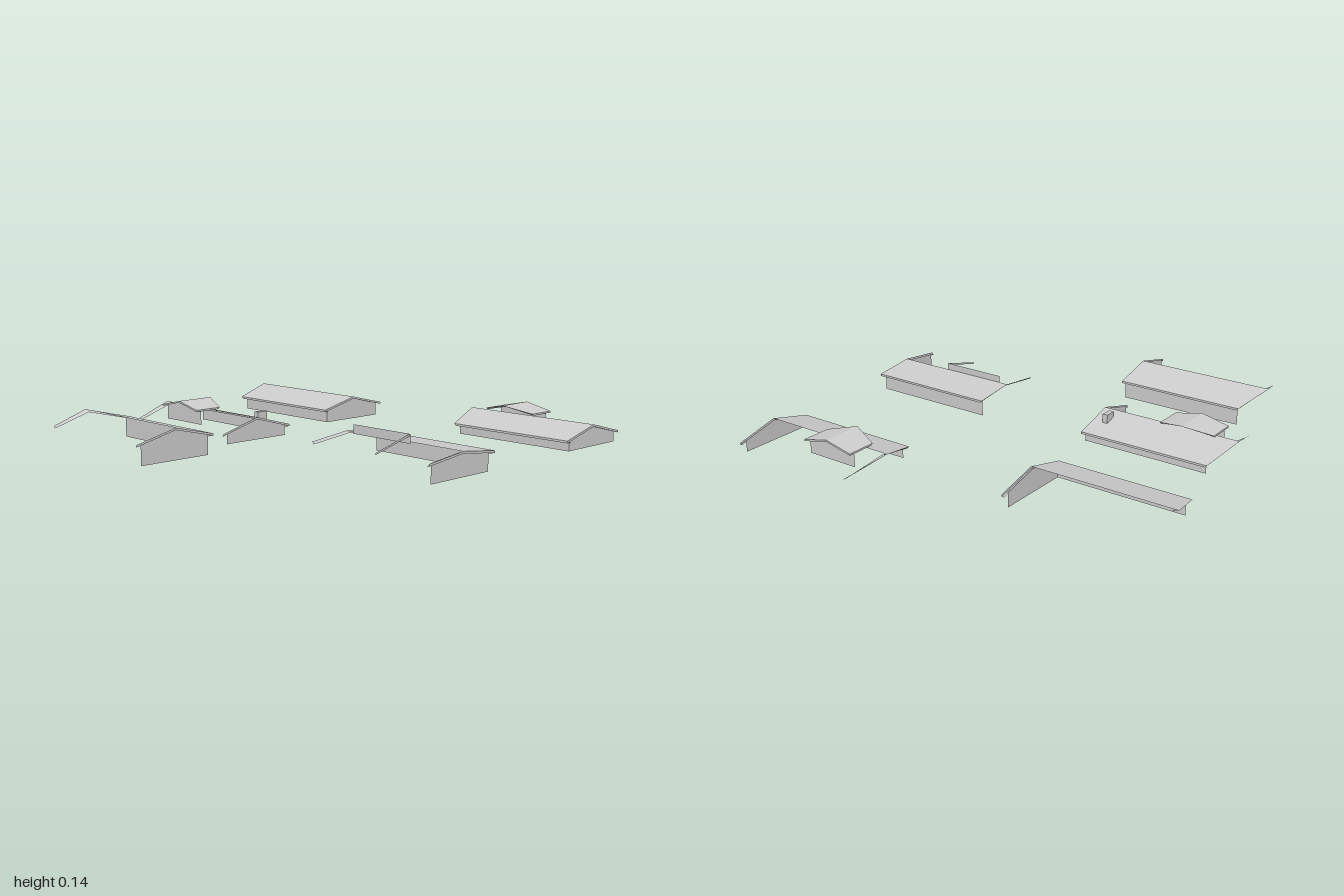
import * as THREE from 'three';

const material = new THREE.MeshStandardMaterial({ color: 0xcccccc, flatShading: true, side: THREE.DoubleSide });

// Flat convex panel from its corner points
function panel(name, points) {
  const triangles = [];
  for (let i = 1; i < points.length - 1; i++) triangles.push(...points[0], ...points[i], ...points[i + 1]);
  const geometry = new THREE.BufferGeometry();
  geometry.setAttribute('position', new THREE.Float32BufferAttribute(triangles, 3));
  geometry.computeVertexNormals();
  const mesh = new THREE.Mesh(geometry, material);
  mesh.name = name;
  return mesh;
}

const HALF = 0.2;   // ridge to eave
const WALL = 0.175; // ridge to wall
const TRIM = 0.01;  // depth of the roof edge

// Open house shell: one roof slope (side +1 or -1), its long wall, front gable and rake trims
function house({ name, x, side, front, backRidge, backEave, ridge, eave, frontTrim = 0.006, backTrim = [0.03, 0.01], bothTrims = true }) {
  const group = new THREE.Group();
  group.name = name;
  const out = side * HALF;
  const wallTop = ridge - (ridge - eave) * WALL / HALF - 0.004;
  group.add(panel('roofSlope', [[0, ridge, front], [out, eave, front], [out, eave, backEave], [0, ridge, backRidge]]));
  group.add(panel('eaveFascia', [[out, eave, front], [out, eave - TRIM, front], [out, eave - TRIM, backEave + 0.01], [out, eave, backEave]]));
  group.add(panel('eaveSoffit', [[out, eave - TRIM, front], [side * WALL, eave - TRIM, front], [side * WALL, eave - TRIM, backEave + 0.015], [out, eave - TRIM, backEave + 0.01]]));

  // Rake trims at both ends
  for (const s of [side, -side]) {
    const e = s * HALF;
    group.add(panel('frontRake', [[0, ridge, front], [e, eave, front], [e, eave - TRIM, front], [0, ridge - TRIM, front]]));
    group.add(panel('frontRakeSoffit', [[0, ridge - TRIM, front], [e, eave - TRIM, front],
      [e, eave - TRIM, front - frontTrim], [0, ridge - TRIM, front - frontTrim]]));
    if (s === side || bothTrims) {
      group.add(panel('backRake', [[0, ridge, backRidge], [e, eave, backEave],
        [e, eave - TRIM, backEave + backTrim[1]], [0, ridge - TRIM, backRidge + backTrim[0]]]));
    }
  }

  // Walls
  const z = front - frontTrim;
  group.add(panel('frontGable', [[-WALL, 0, z], [WALL, 0, z], [WALL, wallTop, z], [0, ridge - 0.004, z], [-WALL, wallTop, z]]));
  const w = side * WALL;
  group.add(panel('longWall', [[w, 0, z], [w, 0, backEave + 0.015], [w, wallTop, backEave + 0.015], [w, wallTop, z]]));
  group.position.x = x;
  return group;
}

// Gabled dormer with a pointed inner end, facing +x or -x
function dormer({ x, z, facing }) {
  const group = new THREE.Group();
  group.name = 'dormer';
  const top = 0.143, low = 0.113, half = 0.135;
  const outer = 0.11 * facing, corner = -0.03 * facing, tip = -0.08 * facing, wall = 0.08 * facing;
  for (const s of [1, -1]) {
    const e = s * half;
    group.add(panel('dormerRoof', [[tip, top, 0], [corner, low, e], [outer, low, e], [outer, top, 0]]));
    group.add(panel('dormerEave', [[corner, low, e], [outer, low, e], [outer, low - 0.008, e], [corner + 0.01 * facing, low - 0.008, e]]));
    group.add(panel('dormerRake', [[outer, top, 0], [outer, low, e], [outer, low - 0.008, e], [outer, top - 0.008, 0]]));
    group.add(panel('dormerInnerRake', [[tip, top, 0], [corner, low, e], [corner + 0.01 * facing, low - 0.008, e], [tip + 0.03 * facing, top - 0.008, 0]]));
  }
  group.add(panel('dormerWall', [[wall, 0.04, -half + 0.004], [wall, 0.04, half - 0.004], [wall, low - 0.003, half - 0.004],
    [wall, top - 0.003, 0], [wall, low - 0.003, -half + 0.004]]));
  group.position.set(x, 0, z);
  return group;
}

export function createModel() {
  const model = new THREE.Group();
  model.name = 'houseGroup';

  // Back row
  model.add(house({ name: 'backRightHouse', x: -0.77, side: 1, front: -0.055, backRidge: -0.745, backEave: -0.69, ridge: 0.14, eave: 0.092 }));
  const middle = house({ name: 'backMiddleHouse', x: -0.205, side: 1, front: -0.19, backRidge: -0.88, backEave: -0.83, ridge: 0.105, eave: 0.05 });
  middle.add(dormer({ x: 0, z: -0.635, facing: -1 }));
  const chimney = new THREE.Mesh(new THREE.BoxGeometry(0.055, 0.05, 0.025), material);
  chimney.name = 'chimney';
  chimney.position.set(0.077, 0.092, -0.255);
  middle.add(chimney);
  model.add(middle);
  model.add(house({ name: 'backLeftHouse', x: 0.54, side: -1, front: -0.305, backRidge: -1, backEave: -0.95, ridge: 0.113, eave: 0.065, frontTrim: 0.012, bothTrims: false }));

  // Front row
  const shed = house({ name: 'frontRightHouse', x: -0.172, side: 1, front: 1, backRidge: 0.355, backEave: 0.355, ridge: 0.108, eave: 0.085, frontTrim: 0.012, backTrim: [0.013, 0.01] });
  // Raised wall on the ridge and its sloping side trim
  shed.add(panel('raisedWall', [[0, 0.1, 0.4], [0, 0.1, 0.725], [0, 0.141, 0.725], [0, 0.141, 0.4]]));
  shed.add(panel('raisedRake', [[0, 0.141, 0.72], [-HALF, 0.088, 0.72], [-HALF, 0.08, 0.72], [0, 0.131, 0.72]]));
  model.add(shed);
  const left = house({ name: 'frontLeftHouse', x: 0.77, side: -1, front: 0.973, backRidge: 0.28, backEave: 0.335, ridge: 0.1, eave: 0.05, frontTrim: 0.008 });
  left.add(dormer({ x: 0, z: 0.525, facing: 1 }));
  model.add(left);

  return model;
}
